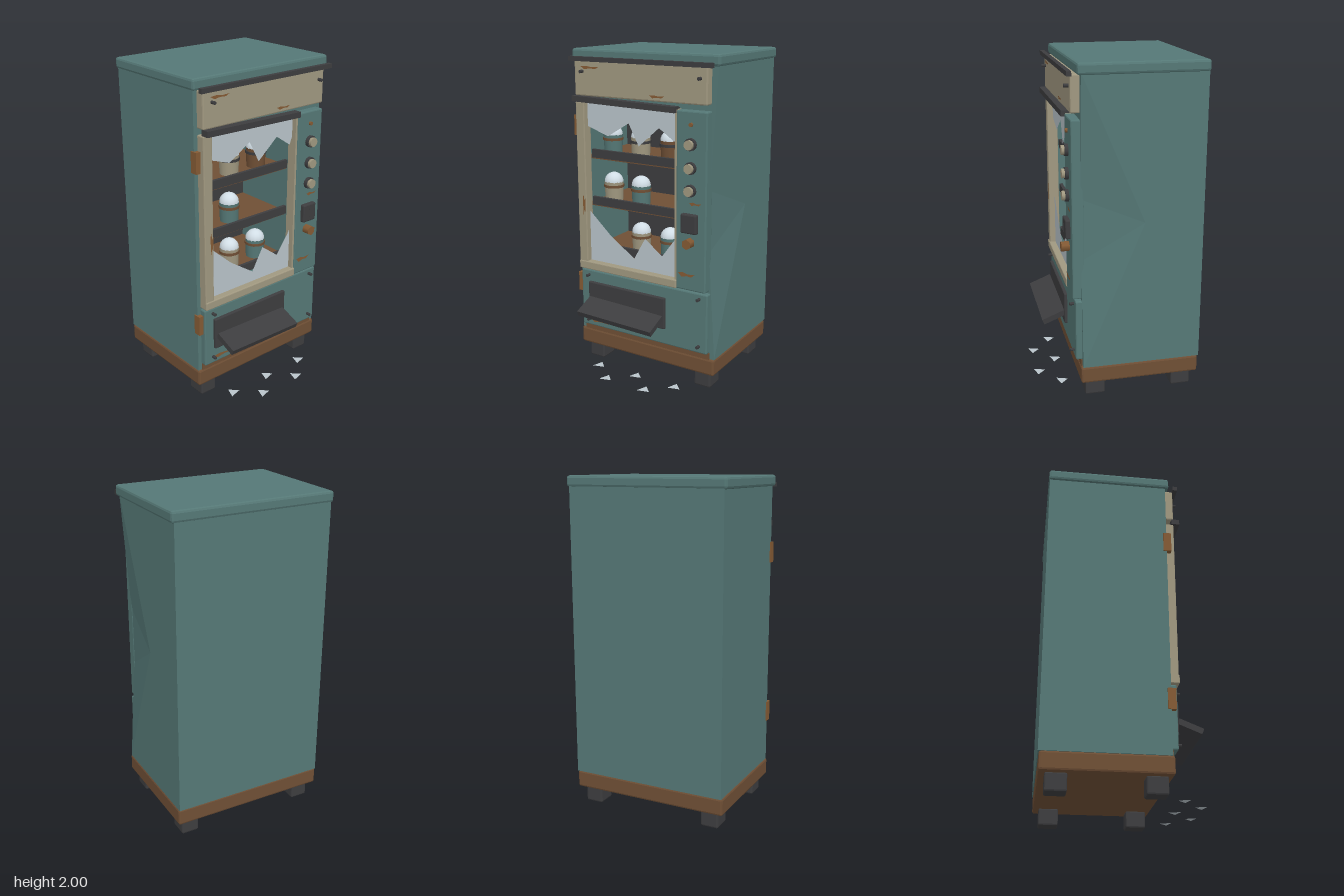
import * as THREE from 'three';
import { RoundedBoxGeometry } from 'three/addons/geometries/RoundedBoxGeometry.js';

const flat = (name, color, side = THREE.FrontSide) => {
  const m = new THREE.MeshStandardMaterial({ color, side });
  m.name = name;
  return m;
};

export function createModel() {
  const teal = flat('weathered teal', 0x557876);
  const brown = flat('rusted brown', 0x6f4f35);
  const rust = flat('bright rust', 0x845a34);
  const dark = flat('charcoal', 0x3d3d3f);
  const cream = flat('dirty cream', 0xa09880);
  const glass = flat('broken glass', 0xb9c4ca, THREE.DoubleSide);
  const dome = flat('pale dome', 0xd2dee6);

  const model = new THREE.Group();
  model.name = 'vendingMachine';

  const add = (name, geo, mat, x = 0, y = 0, z = 0, parent = model) => {
    const m = new THREE.Mesh(geo, mat);
    m.name = name;
    m.position.set(x, y, z);
    parent.add(m);
    return m;
  };
  // Box given by its limits, with an optional chamfer
  const box = (name, mat, x0, x1, y0, y1, z0, z1, r = 0) => {
    const size = [x1 - x0, y1 - y0, z1 - z0];
    const geo = r ? new RoundedBoxGeometry(...size, 1, r) : new THREE.BoxGeometry(...size);
    if (r) geo.computeVertexNormals();
    return add(name, geo, mat, (x0 + x1) / 2, (y0 + y1) / 2, (z0 + z1) / 2);
  };
  // Cylinder facing the front
  const disc = (name, mat, x, y, z0, z1, r, sides) => {
    const geo = new THREE.CylinderGeometry(r, r, z1 - z0, sides).rotateX(Math.PI / 2);
    return add(name, geo, mat, x, y, (z0 + z1) / 2);
  };
  const outline = pts => new THREE.Shape(pts.map(p => new THREE.Vector2(...p)));

  // Cabinet shell around the display cavity
  box('leftWall', teal, -0.485, -0.42, 0.205, 1.95, -0.48, 0.235);
  box('backWall', teal, -0.484, 0.484, 0.205, 1.95, -0.48, -0.46);
  box('lowerCabinet', teal, -0.42, 0.42, 0.205, 0.66, -0.46, 0.235);
  box('upperCabinet', teal, -0.42, 0.42, 1.7, 1.95, -0.46, 0.235);
  box('controlColumn', teal, 0.24, 0.42, 0.66, 1.7, -0.46, 0.235);
  box('cavityBack', dark, -0.42, 0.24, 0.66, 1.7, -0.22, -0.2);

  // Dented right wall: a fan of facets around the centre of the side
  const rim = [[0.485, 0.205, -0.48], [0.485, 1.95, -0.48], [0.485, 1.95, 0.235],
    [0.44, 1.24, 0.235], [0.44, 0.87, 0.235], [0.485, 0.205, 0.235]];
  const fan = [];
  rim.forEach((p, i) => fan.push(0.485, 1.09, -0.13, ...p, ...rim[(i + 1) % rim.length]));
  const side = new THREE.BufferGeometry();
  side.setAttribute('position', new THREE.Float32BufferAttribute(fan, 3));
  side.computeVertexNormals();
  add('dentedRightWall', side, teal);
  add('dentedFrontEdge', new THREE.ShapeGeometry(outline([[0.42, 0.205], [0.485, 0.205],
    [0.44, 0.87], [0.44, 1.24], [0.485, 1.95], [0.42, 1.95]])), teal, 0, 0, 0.235);

  // Roof, plinth and feet
  box('roofCap', teal, -0.5, 0.5, 1.935, 2, -0.485, 0.257, 0.014);
  box('plinth', brown, -0.49, 0.487, 0.1, 0.205, -0.475, 0.247, 0.012);
  box('plinthTrim', brown, -0.46, 0.455, 0.2, 0.245, 0.2, 0.243);
  for (const x of [-0.395, 0.395])
    for (const z of [0.157, -0.38])
      box('foot', dark, x - 0.055, x + 0.055, 0, 0.105, z - 0.06, z + 0.06, 0.01);

  // Header panel and dark trim bars
  box('headerPanel', cream, -0.46, 0.442, 1.725, 1.935, 0.2, 0.287, 0.008);
  box('headerBar', dark, -0.485, 0.482, 1.93, 1.957, 0.285, 0.312);
  const bar = box('windowBar', dark, -0.46, 0.245, 1.683, 1.717, 0.265, 0.315);
  bar.rotation.set(0, 0.025, -0.03);

  // Window frame
  box('frameLeft', cream, -0.46, -0.398, 0.64, 1.69, 0.22, 0.287, 0.006);
  box('frameBottom', cream, -0.46, 0.25, 0.633, 0.685, 0.22, 0.292, 0.006);
  box('frameRight', cream, 0.234, 0.25, 0.68, 1.69, 0.22, 0.28);

  // Jagged remains of the window
  add('upperGlass', new THREE.ShapeGeometry(outline([[-0.4, 1.69], [-0.4, 1.54], [-0.25, 1.49],
    [-0.1, 1.58], [-0.03, 1.45], [0.11, 1.57], [0.215, 1.5], [0.24, 1.56], [0.24, 1.69]])), glass, 0, 0, 0.25);
  add('lowerGlass', new THREE.ShapeGeometry(outline([[-0.4, 0.68], [0.24, 0.68], [0.24, 0.96],
    [0.22, 0.92], [0.13, 0.8], [0.01, 0.89], [-0.07, 0.75], [-0.24, 0.865], [-0.4, 1.01]])), glass, 0, 0, 0.25);

  // Shelves with lips
  for (const y of [1.33, 1.03, 0.73]) {
    box('shelf', brown, -0.42, 0.24, y, y + 0.025, -0.2, 0.2);
    box('shelfLip', dark, -0.4, 0.235, y + 0.01, y + 0.062, 0.195, 0.215);
  }

  // Domed jars: column, shelf top, body colour, band colour
  const jars = [[-0.325, 1.355, teal, brown], [-0.12, 1.355, cream, dark], [0.09, 1.355, brown, dark],
    [-0.325, 1.055, cream, brown], [-0.12, 1.055, teal, brown],
    [-0.12, 0.755, cream, brown], [0.09, 0.755, teal, brown]];
  const bodyGeo = new THREE.CylinderGeometry(0.06, 0.056, 0.12, 14);
  const bandGeo = new THREE.CylinderGeometry(0.064, 0.064, 0.016, 14);
  const domeGeo = new THREE.SphereGeometry(0.06, 14, 6, 0, Math.PI * 2, 0, Math.PI / 2);
  for (const [x, y, body, band] of jars) {
    const jar = new THREE.Group();
    jar.name = 'jar';
    jar.position.set(x, y, 0.09);
    model.add(jar);
    add('jarBody', bodyGeo, body, 0, 0.06, 0, jar);
    add('jarBand', bandGeo, band, 0, 0.092, 0, jar);
    add('jarDome', domeGeo, dome, 0, 0.118, 0, jar);
  }

  // Control panel
  box('controlPanel', teal, 0.248, 0.445, 0.635, 1.69, 0.215, 0.287, 0.008);
  for (const y of [1.505, 1.37, 1.24]) {
    disc('buttonRing', dark, 0.345, y, 0.28, 0.308, 0.036, 12);
    disc('button', cream, 0.345, y, 0.3, 0.326, 0.028, 12);
  }
  disc('indicator', rust, 0.345, 1.615, 0.28, 0.3, 0.012, 8);
  box('coinBox', dark, 0.292, 0.395, 0.99, 1.105, 0.28, 0.315, 0.008);
  box('coinSlot', cream, 0.341, 0.347, 1.02, 1.075, 0.312, 0.317).material = dark;
  disc('coinKnob', rust, 0.343, 0.932, 0.28, 0.335, 0.031, 6);

  // Service door, delivery slot and bent flap
  box('serviceDoor', teal, -0.46, 0.453, 0.245, 0.623, 0.22, 0.273, 0.008);
  box('deliverySlot', dark, -0.395, 0.17, 0.35, 0.55, 0.26, 0.292, 0.006);
  const flap = add('deliveryFlap', new THREE.BoxGeometry(0.535, 0.035, 0.15), dark, -0.113, 0.402, 0.357);
  flap.rotation.set(0.38, 0, -0.04);

  // Bolts and hinges
  for (const x of [-0.4, 0.4])
    for (const [y, z] of [[1.87, 0.285], [0.59, 0.27], [0.29, 0.27]])
      disc('bolt', dark, x, y, z, z + 0.03, 0.01, 6);
  for (const y of [1.54, 0.528])
    box('hinge', rust, -0.492, -0.462, y - 0.062, y + 0.062, 0.215, 0.262);

  // Rust flecks: centre, surface depth, width, height
  const fleck = [[-0.5, 0.3], [-0.2, 0.5], [0.1, 0.2], [0.5, 0.35], [0.3, -0.3], [0, -0.2], [-0.3, -0.5]];
  const flecks = [[-0.345, 1.893, 0.29, 0.13, 0.02], [0.12, 1.752, 0.29, 0.1, 0.018],
    [0.375, 1.163, 0.29, 0.08, 0.02], [0.32, 0.73, 0.29, 0.11, 0.03],
    [-0.315, 0.285, 0.276, 0.17, 0.025], [-0.412, 1.05, 0.29, 0.022, 0.14]];
  for (const [x, y, z, w, h] of flecks)
    add('rustFleck', new THREE.ShapeGeometry(outline(fleck.map(p => [p[0] * w, p[1] * h]))), rust, x, y, z);

  // Glass shards on the ground
  const shard = new THREE.ShapeGeometry(outline([[-0.035, -0.035], [0.04, -0.015], [-0.01, 0.035]]));
  shard.rotateX(-Math.PI / 2);
  for (let i = 0; i < 5; i++)
    add('groundShard', shard, glass, -0.29 + i * 0.14, 0.012, i % 2 ? 0.45 : 0.327);

  return model;
}
